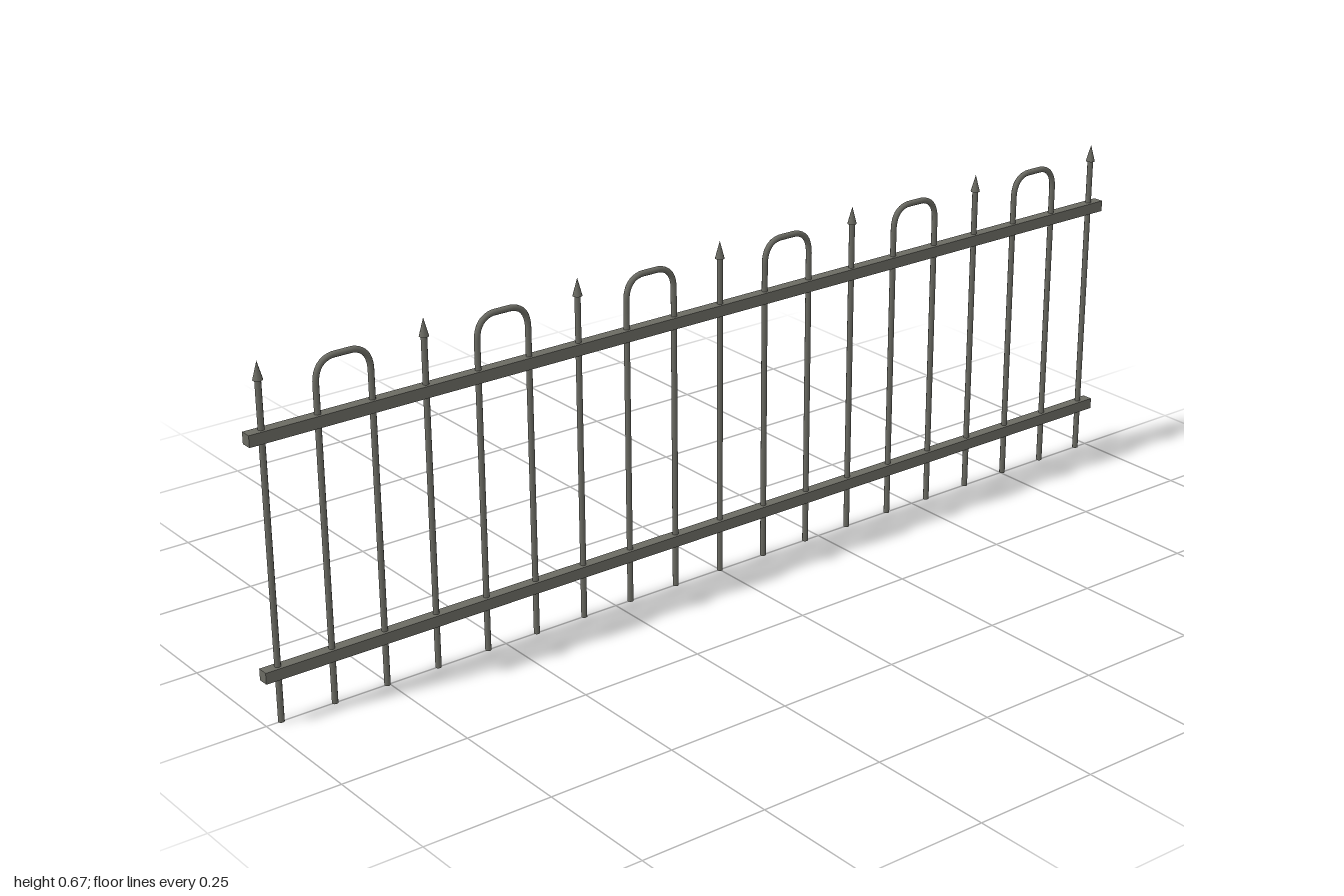
import * as THREE from 'three';

export function createModel() {
  const fence = new THREE.Group();
  fence.name = 'fence';
  const iron = new THREE.MeshStandardMaterial({ color: 0x6b6b63 });
  iron.name = 'weathered iron';

  const pitch = 0.1078; // distance between neighbouring bars
  const rod = 0.0058;
  const springY = 0.603; // where the hoops start to curve
  const topY = 0.649;

  const add = (parent, name, geometry, x, y) => {
    const mesh = new THREE.Mesh(geometry, iron);
    mesh.name = name;
    mesh.position.set(x, y, 0);
    parent.add(mesh);
  };

  // Horizontal rails
  const railGeo = new THREE.BoxGeometry(2, 0.022, 0.022);
  add(fence, 'lowerRail', railGeo, 0, 0.097);
  add(fence, 'upperRail', railGeo, 0, 0.539);

  // Pointed pickets
  const picketH = 0.64;
  const picketGeo = new THREE.CylinderGeometry(rod, rod, picketH, 10);
  const tipGeo = new THREE.ConeGeometry(0.0092, 0.034, 10);
  for (let i = -3; i <= 3; i++) {
    const picket = new THREE.Group();
    picket.name = 'picket';
    picket.position.x = i * 3 * pitch;
    add(picket, 'picketBar', picketGeo, 0, picketH / 2);
    add(picket, 'spearTip', tipGeo, 0, picketH + 0.016);
    fence.add(picket);
  }

  // Hoop arch: two rounded corners joined by a short straight top
  const h = pitch / 2, r = topY - springY;
  const v = (x, y) => new THREE.Vector3(x, y, 0);
  const arch = new THREE.CurvePath();
  arch.add(new THREE.QuadraticBezierCurve3(v(-h, 0), v(-h, r * 0.9), v(-h + r * 0.75, r)));
  arch.add(new THREE.LineCurve3(v(-h + r * 0.75, r), v(h - r * 0.75, r)));
  arch.add(new THREE.QuadraticBezierCurve3(v(h - r * 0.75, r), v(h, r * 0.9), v(h, 0)));
  const archGeo = new THREE.TubeGeometry(arch, 24, rod, 10);
  const legGeo = new THREE.CylinderGeometry(rod, rod, springY, 10);

  // Hoops between the pickets
  for (let i = -2.5; i <= 2.5; i++) {
    const hoop = new THREE.Group();
    hoop.name = 'hoop';
    hoop.position.x = i * 3 * pitch;
    for (const side of [-1, 1]) add(hoop, 'hoopLeg', legGeo, side * h, springY / 2);
    add(hoop, 'hoopArch', archGeo, 0, springY);
    fence.add(hoop);
  }
  return fence;
}
